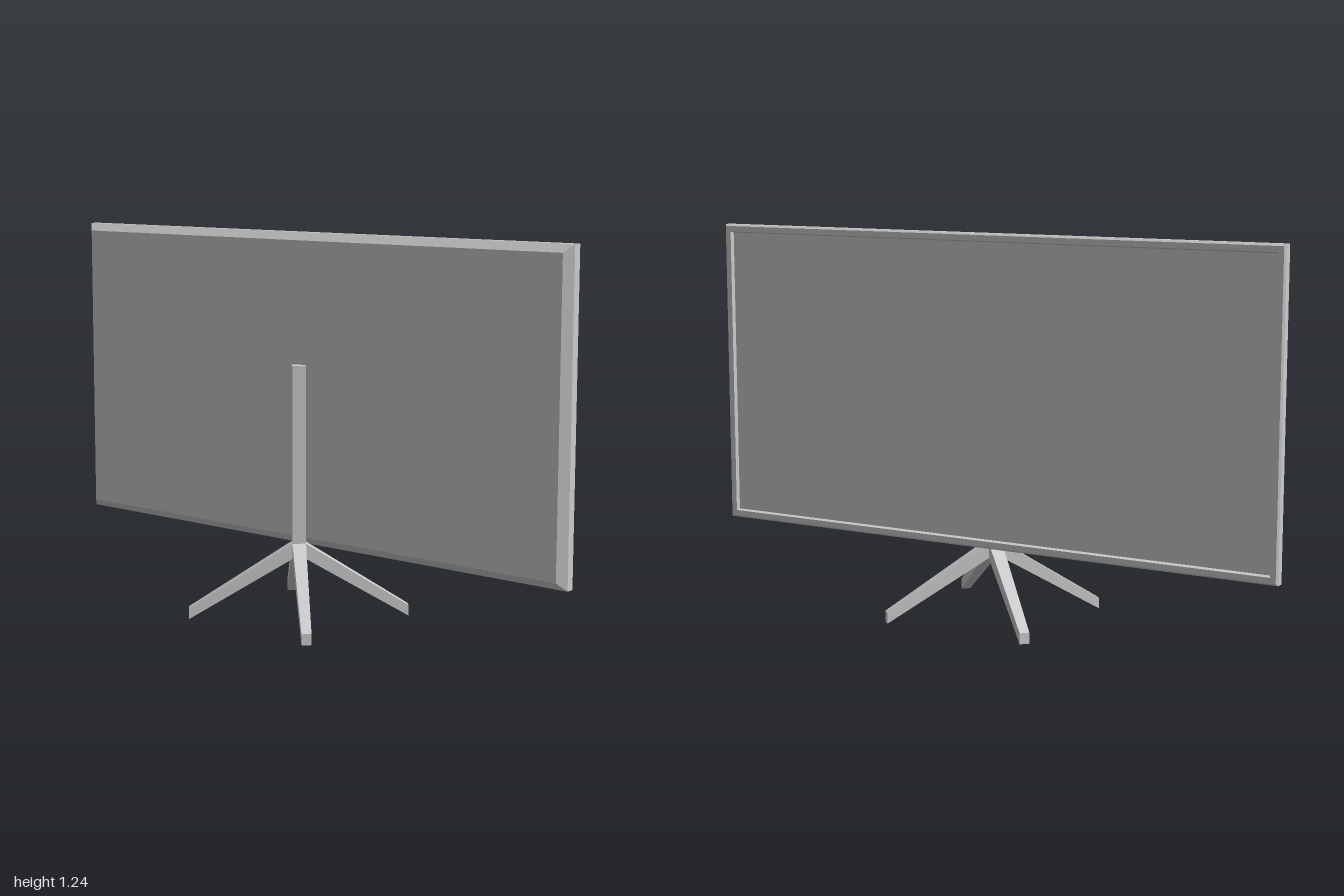
import * as THREE from 'three';

const grey = () => new THREE.MeshStandardMaterial({ color: 0xcccccc, flatShading: true });

// Rectangular loop facing +z, counter-clockwise
const rect = (hw, y0, y1, z) => [[-hw, y0, z], [hw, y0, z], [hw, y1, z], [-hw, y1, z]];

// Skin a row of loops running towards -z, closing both ends
function loft(loops) {
  const pos = [];
  const quad = (a, b, c, d) => pos.push(...a, ...b, ...c, ...a, ...c, ...d);
  quad(...loops[0]);
  for (let k = 0; k < loops.length - 1; k++) {
    const a = loops[k], b = loops[k + 1];
    for (let i = 0; i < 4; i++) {
      const j = (i + 1) % 4;
      quad(a[i], b[i], b[j], a[j]);
    }
  }
  quad(...[...loops[loops.length - 1]].reverse());
  const g = new THREE.BufferGeometry();
  g.setAttribute('position', new THREE.Float32BufferAttribute(pos, 3));
  g.computeVertexNormals();
  return g;
}

export function createModel() {
  const model = new THREE.Group();
  model.name = 'screenOnStand';
  const add = (name, geometry) => {
    const mesh = new THREE.Mesh(geometry, grey());
    mesh.name = name;
    model.add(mesh);
    return mesh;
  };

  // Panel: bevelled on the stand side, recessed screen on the other; [inset, z]
  const profile = [
    [0.025, -0.016], [0, -0.04], [0, -0.066], [0.006, -0.072],
    [0.024, -0.072], [0.028, -0.06],
  ];
  add('panel', loft(profile.map(([s, z]) => rect(1 - s, 0.235 + s, 1.24 - s, z))));

  // Column: square bar turned on its corner
  const bottom = 0.195, top = 0.82;
  const column = new THREE.CylinderGeometry(0.031, 0.031, top - bottom, 4).toNonIndexed();
  column.computeVertexNormals();
  add('column', column).position.y = (top + bottom) / 2;

  // Four tapered legs, one from each face of the column
  const leg = loft([rect(0.0155, 0, 0.035, 0.356), rect(0.022, bottom, 0.245, 0.0215)]);
  for (let i = 0; i < 4; i++) {
    add('leg', leg).rotation.y = Math.PI / 4 + i * Math.PI / 2;
  }
  return model;
}
